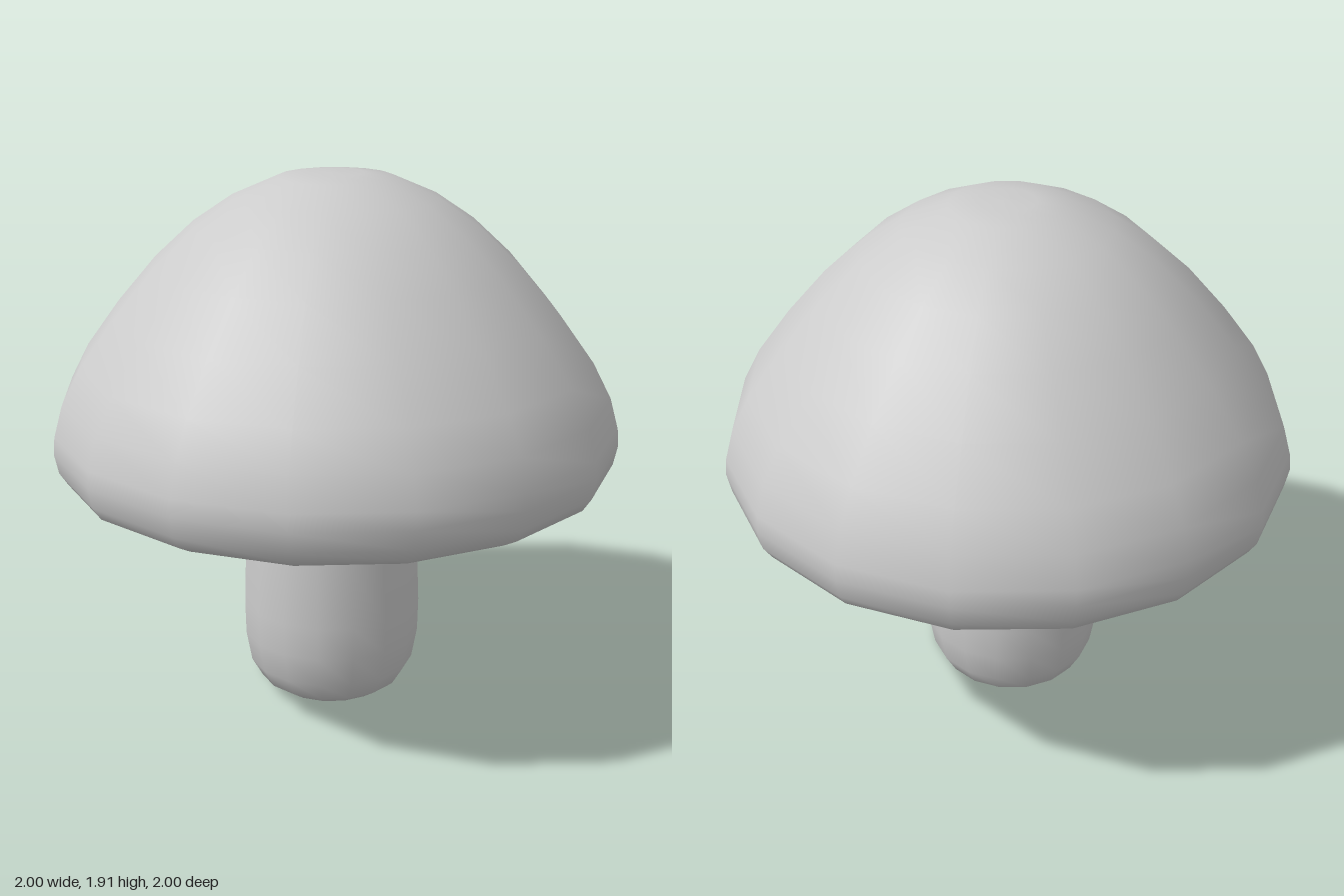
import * as THREE from 'three';

const SIDES = 16;

// Smooth solid of revolution from [radius, height] pairs, listed from bottom centre to top centre
function turned(name, profile) {
  const points = profile.map(([r, y]) => new THREE.Vector2(r, y));
  const mesh = new THREE.Mesh(
    new THREE.LatheGeometry(points, SIDES),
    new THREE.MeshStandardMaterial({ color: 0xcccccc })
  );
  mesh.name = name;
  return mesh;
}

export function createModel() {
  const group = new THREE.Group();
  group.name = 'mushroom';

  // Domed cap: hollow underside, rounded lip, outer dome
  const cap = turned('cap', [
    [0, 1.27], [0.2, 1.25], [0.4, 1.18], [0.57, 1.06], [0.68, 0.94], [0.75, 0.86],
    [0.83, 0.827], [0.9, 0.835], [0.955, 0.865], [0.985, 0.91], [1, 0.98], [0.995, 1.04],
    [0.965, 1.15], [0.9, 1.275], [0.78, 1.44], [0.64, 1.605], [0.5, 1.735],
    [0.36, 1.83], [0.2, 1.9], [0.1, 1.913], [0, 1.915],
  ]);

  // Stem: soft rounded foot, tapering up into the cap
  const stem = turned('stem', [
    [0, 0], [0.12, 0.005], [0.2, 0.02], [0.26, 0.06], [0.3, 0.13], [0.32, 0.24],
    [0.323, 0.36], [0.315, 0.57], [0.297, 0.83], [0.275, 1.0], [0.22, 1.25], [0, 1.3],
  ]);
  stem.position.z = 0.02;

  group.add(cap, stem);
  return group;
}
